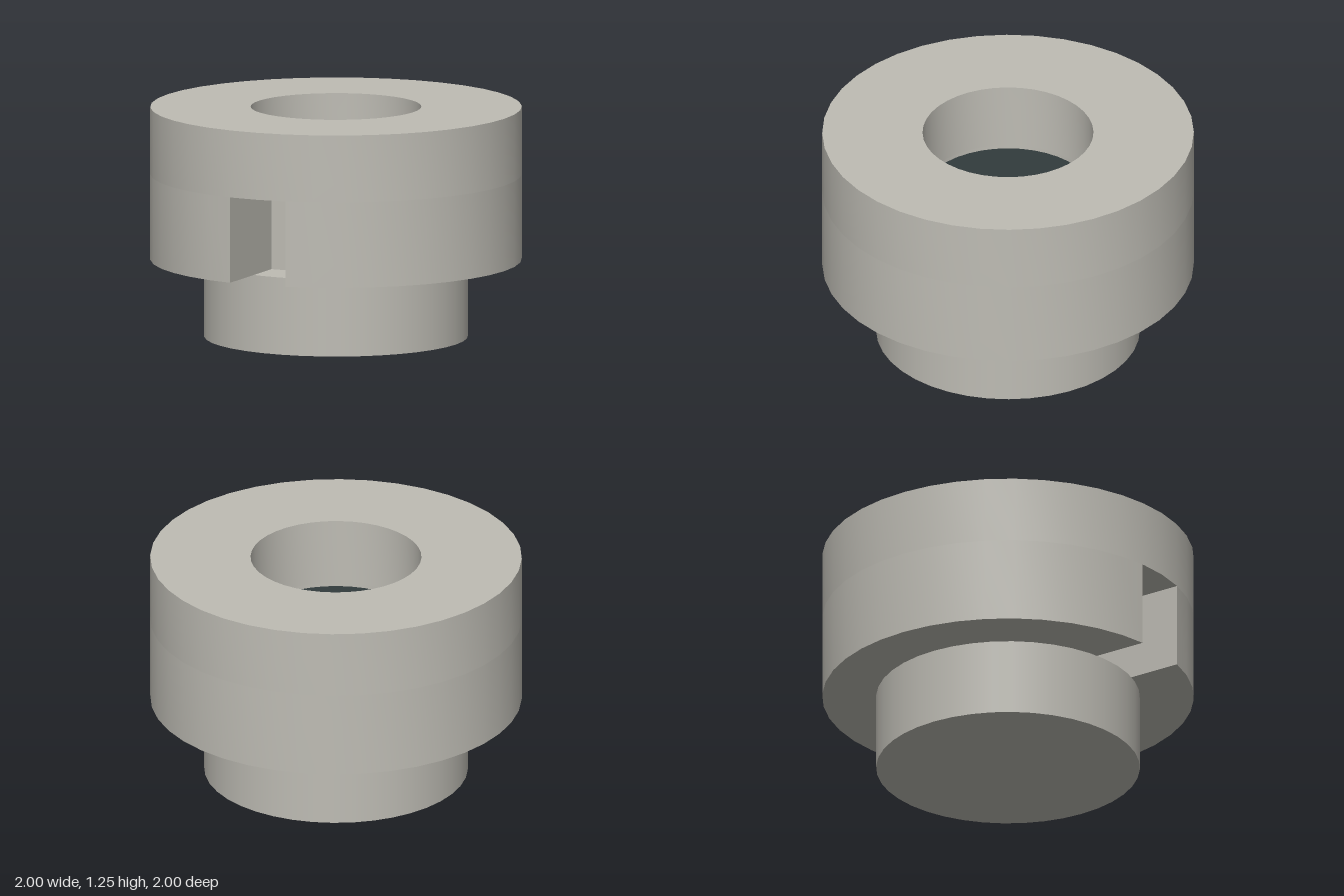
import * as THREE from 'three';
import { toCreasedNormals } from 'three/addons/utils/BufferGeometryUtils.js';

const SIDES = 40;
const HOLE_R = 0.46, NOTCH_HALF = 0.165, NOTCH_BACK = 0.467;
const BASE_TOP = 0.42, NOTCH_TOP = 0.885, TOP = 1.25;

// Plan points: (x, -z), angle measured from the front
const planPoint = (r, k) => {
  const a = (k / SIDES) * Math.PI * 2;
  return new THREE.Vector2(r * Math.sin(a), -r * Math.cos(a));
};

function circlePoints(r, from = 0, to = SIDES - 1) {
  const points = [];
  for (let k = from; k <= to; k++) points.push(planPoint(r, k));
  return points;
}

// Upright slab with the round bore through it
function boredSlab(outline, y0, y1) {
  const shape = new THREE.Shape(outline);
  shape.holes.push(new THREE.Path(circlePoints(HOLE_R)));
  const geometry = new THREE.ExtrudeGeometry(shape, { depth: y1 - y0, bevelEnabled: false });
  geometry.rotateX(-Math.PI / 2);
  geometry.translate(0, y0, 0);
  return toCreasedNormals(geometry, 0.5);
}

export function createModel() {
  const group = new THREE.Group();
  const grey = new THREE.MeshStandardMaterial({ color: 0xbebcb4 });
  grey.name = 'warm grey';
  const dark = new THREE.MeshStandardMaterial({ color: 0x323b3c });
  dark.name = 'dark slate';

  const add = (name, geometry, material, y = 0) => {
    const mesh = new THREE.Mesh(geometry, material);
    mesh.name = name;
    mesh.position.y = y;
    group.add(mesh);
    return mesh;
  };

  // Full ring above the notch
  add('upperRing', boredSlab(circlePoints(1), NOTCH_TOP, TOP), grey);

  // Lower ring with a square notch cut into the front
  const edgeZ = 0.9856;
  const notched = [
    new THREE.Vector2(NOTCH_HALF, -edgeZ),
    ...circlePoints(1, 2, SIDES - 2),
    new THREE.Vector2(-NOTCH_HALF, -edgeZ),
    new THREE.Vector2(-NOTCH_HALF, -NOTCH_BACK),
    new THREE.Vector2(NOTCH_HALF, -NOTCH_BACK),
  ];
  add('notchedRing', boredSlab(notched, BASE_TOP, NOTCH_TOP), grey);

  // Narrower round foot
  add('foot', new THREE.CylinderGeometry(0.71, 0.71, BASE_TOP, SIDES), grey, BASE_TOP / 2);

  // Dark plug that floors the bore
  const plugTop = 0.865;
  add('borePlug', new THREE.CylinderGeometry(HOLE_R, HOLE_R, plugTop - BASE_TOP, SIDES), dark,
    (plugTop + BASE_TOP) / 2);

  // Tiny slit in the back wall of the notch
  const slit = add('notchSlit', new THREE.BoxGeometry(0.016, 0.06, 0.006), dark, 0.84);
  slit.position.z = NOTCH_BACK;

  return group;
}
